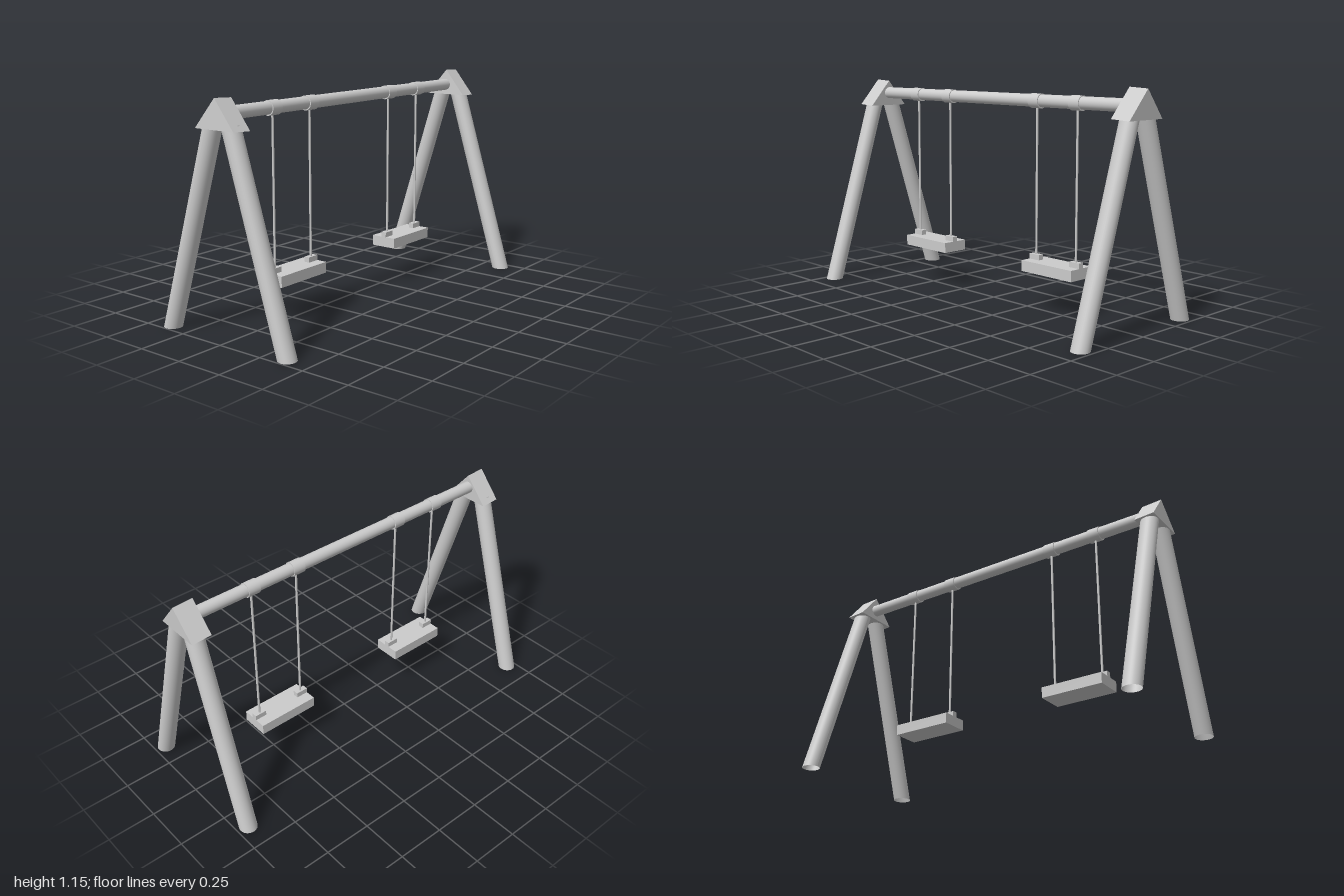
import * as THREE from 'three';

export function createModel() {
  const group = new THREE.Group();
  const mat = new THREE.MeshStandardMaterial({ color: 0xcccccc, side: THREE.DoubleSide });

  const add = (name, geometry, x, y, z, parent = group) => {
    const mesh = new THREE.Mesh(geometry, mat);
    mesh.name = name;
    mesh.position.set(x, y, z);
    parent.add(mesh);
    return mesh;
  };

  // Open tube leaning inwards but cut level with the ground
  const legGeometry = (side, height) => {
    const g = new THREE.CylinderGeometry(0.046, 0.046, height, 32, 1, true);
    g.translate(0, height / 2, 0);
    g.applyMatrix4(new THREE.Matrix4().makeShear(0, 0, -0.31 * side, 0, 0, 0));
    const p = g.attributes.position;
    for (let i = 0; i < p.count; i++) {
      // makes the lean explicit: x follows height
      const y = i < p.count / 2 ? height : 0;
      const a = (i % 33) / 32 * Math.PI * 2;
      p.setXYZ(i, 0.046 * Math.sin(a) + side * (0.37 - 0.31 * y), y, 0.046 * Math.cos(a));
    }
    g.computeVertexNormals();
    return g;
  };

  // Triangular cap, extruded along z and centred
  const triangle = new THREE.Shape([
    new THREE.Vector2(-0.12, -0.072),
    new THREE.Vector2(0.12, -0.072),
    new THREE.Vector2(0, 0.07),
  ]);
  const capGeometry = new THREE.ExtrudeGeometry(triangle, { depth: 0.106, bevelEnabled: false });
  capGeometry.translate(0, 0, -0.053);

  // Two end frames: a pair of legs under a slightly tilted cap
  for (const [name, legZ, capZ, capY] of [
    ['frontFrame', 0.95, 0.944, 1.066],
    ['backFrame', -0.94, -0.94, 1.077],
  ]) {
    const frame = new THREE.Group();
    frame.name = name;
    group.add(frame);
    add('leftLeg', legGeometry(1, 1.02), 0, 0, legZ, frame);
    add('rightLeg', legGeometry(-1, 1.02), 0, 0, legZ, frame);
    add('cap', capGeometry, 0, capY, capZ, frame).rotation.x = -0.05;
  }

  // Top beam
  const beam = new THREE.CylinderGeometry(0.032, 0.032, 1.84, 32).rotateX(Math.PI / 2);
  add('beam', beam, -0.003, 1.064, 0);

  // Swings: seat, two rope blocks, two ropes and two collars round the beam
  const collar = new THREE.CylinderGeometry(0.037, 0.037, 0.065, 32).rotateX(Math.PI / 2);
  const rope = new THREE.CylinderGeometry(0.006, 0.006, 0.77, 12);
  const block = new THREE.BoxGeometry(0.03, 0.03, 0.065);
  const seat = new THREE.BoxGeometry(0.146, 0.056, 0.335);
  for (const [name, z] of [['frontSwing', 0.482], ['backSwing', -0.445]]) {
    const swing = new THREE.Group();
    swing.name = name;
    swing.position.set(-0.003, 0, z);
    group.add(swing);
    add('seat', seat, 0, 0.23, 0, swing);
    for (const s of [1, -1]) {
      add('ropeBlock', block, 0, 0.27, s * 0.135, swing);
      add('rope', rope, 0, 0.655, s * 0.134, swing);
      add('collar', collar, 0, 1.063, s * 0.134, swing);
    }
  }

  return group;
}
